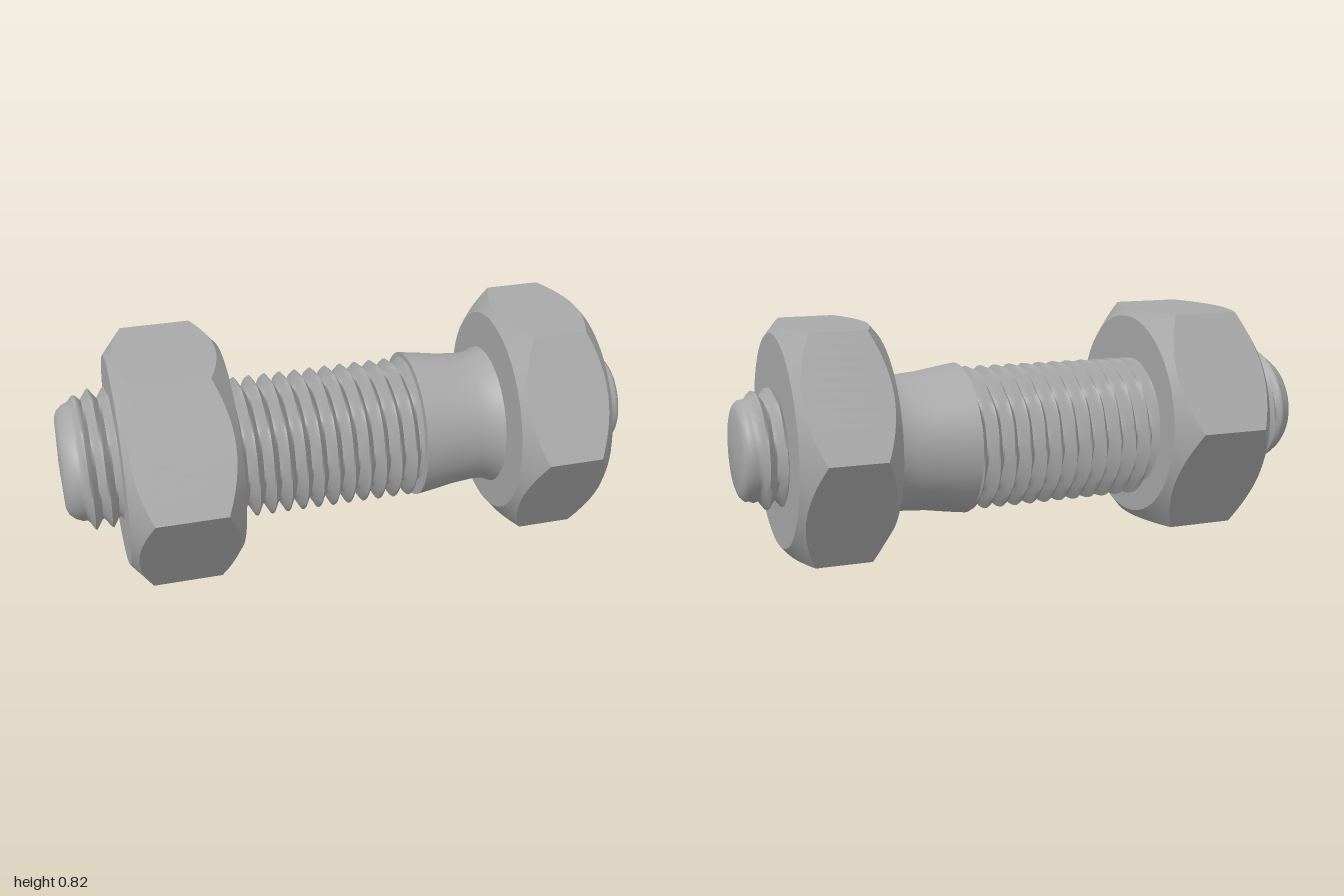
import * as THREE from 'three';
import { toCreasedNormals } from 'three/addons/utils/BufferGeometryUtils.js';

const TAU = Math.PI * 2;
const SEGS = 72;
const PITCH = 0.06;

// Surface around the z axis: rowsAt(angle) gives [radius, z] pairs, z rising
function sweep(rowsAt, crease) {
  const pos = [], index = [];
  let rows = 0;
  for (let j = 0; j < SEGS; j++) {
    const a = (j / SEGS) * TAU;
    const line = rowsAt(a);
    rows = line.length;
    for (const [r, z] of line) pos.push(r * Math.cos(a), r * Math.sin(a), z);
  }
  for (let j = 0; j < SEGS; j++) {
    const p = j * rows, q = ((j + 1) % SEGS) * rows;
    for (let i = 0; i < rows - 1; i++) {
      index.push(p + i, q + i, q + i + 1, p + i, q + i + 1, p + i + 1);
    }
  }
  const g = new THREE.BufferGeometry();
  g.setAttribute('position', new THREE.Float32BufferAttribute(pos, 3));
  g.setIndex(index);
  return toCreasedNormals(g, crease);
}

// Hexagon with flats up and down, its corners cut by a cone on both faces
function hexNut(z0, z1) {
  const apothem = 0.412, face = 0.385, slope = 0.85;
  return sweep((a) => {
    const off = ((a + TAU) % (TAU / 6)) - TAU / 12;
    const h = apothem / Math.cos(off);
    const drop = (h - face) * slope;
    return [[0, z0], [face, z0], [h, z0 + drop], [h, z1 - drop], [face, z1], [0, z1]];
  }, 0.5);
}

// Helical V thread; the teeth fade out near a free end
function thread(z0, z1, root, depth, endCap = []) {
  const count = Math.round((z1 - z0) / (PITCH / 8));
  return sweep((a) => {
    const line = [];
    for (let i = 0; i <= count; i++) {
      const z = z0 + ((z1 - z0) * i) / count;
      let u = z / PITCH - a / TAU;
      u -= Math.floor(u);
      const tooth = 1 - Math.abs(2 * u - 1);
      const fade = endCap.length ? Math.min(1, (z1 - z) / 0.04) : 1;
      line.push([root + depth * tooth * fade, z]);
    }
    return line.concat(endCap);
  }, 0.9);
}

export function createModel() {
  const model = new THREE.Group();
  const steel = new THREE.MeshStandardMaterial({ color: 0xa8a8a8 });
  steel.name = 'grey steel';

  const bolt = new THREE.Group();
  bolt.name = 'bolt';
  bolt.rotation.y = THREE.MathUtils.degToRad(-33.5);
  model.add(bolt);

  const add = (name, geometry, x, y, sx = 1, sy = 1) => {
    const mesh = new THREE.Mesh(geometry, steel);
    mesh.name = name;
    mesh.position.set(x, y, 0);
    mesh.scale.set(sx, sy, 1);
    bolt.add(mesh);
    return mesh;
  };

  // Hexagonal nuts
  add('frontNut', hexNut(0.47, 0.88), -0.005, 0.412, 1.03);
  add('backNut', hexNut(-0.925, -0.565), -0.01, 0.412);

  // Threaded middle of the rod
  add('middleThread', thread(-0.28, 0.52, 0.215, 0.055), -0.04, 0.373);

  // Plain waisted shank, flaring into the back nut
  const waist = [[0, -0.6], [0.28, -0.59], [0.268, -0.565], [0.252, -0.53], [0.25, -0.48],
    [0.257, -0.4], [0.27, -0.32], [0.28, -0.25], [0, -0.25]];
  add('shank', sweep(() => waist, 0.6), -0.045, 0.378);

  // Threaded rod ends with domed tips
  add('frontThread', thread(0.8, 1.03, 0.222, 0.045,
    [[0.213, 1.05], [0.195, 1.07], [0.17, 1.08], [0, 1.085]]), -0.03, 0.415, 1.08, 0.95);
  const back = add('backThread', thread(0.86, 1.035, 0.18, 0.04,
    [[0.18, 1.05], [0.165, 1.065], [0.145, 1.072], [0, 1.076]]), -0.025, 0.39);
  back.rotation.y = Math.PI;

  return model;
}
